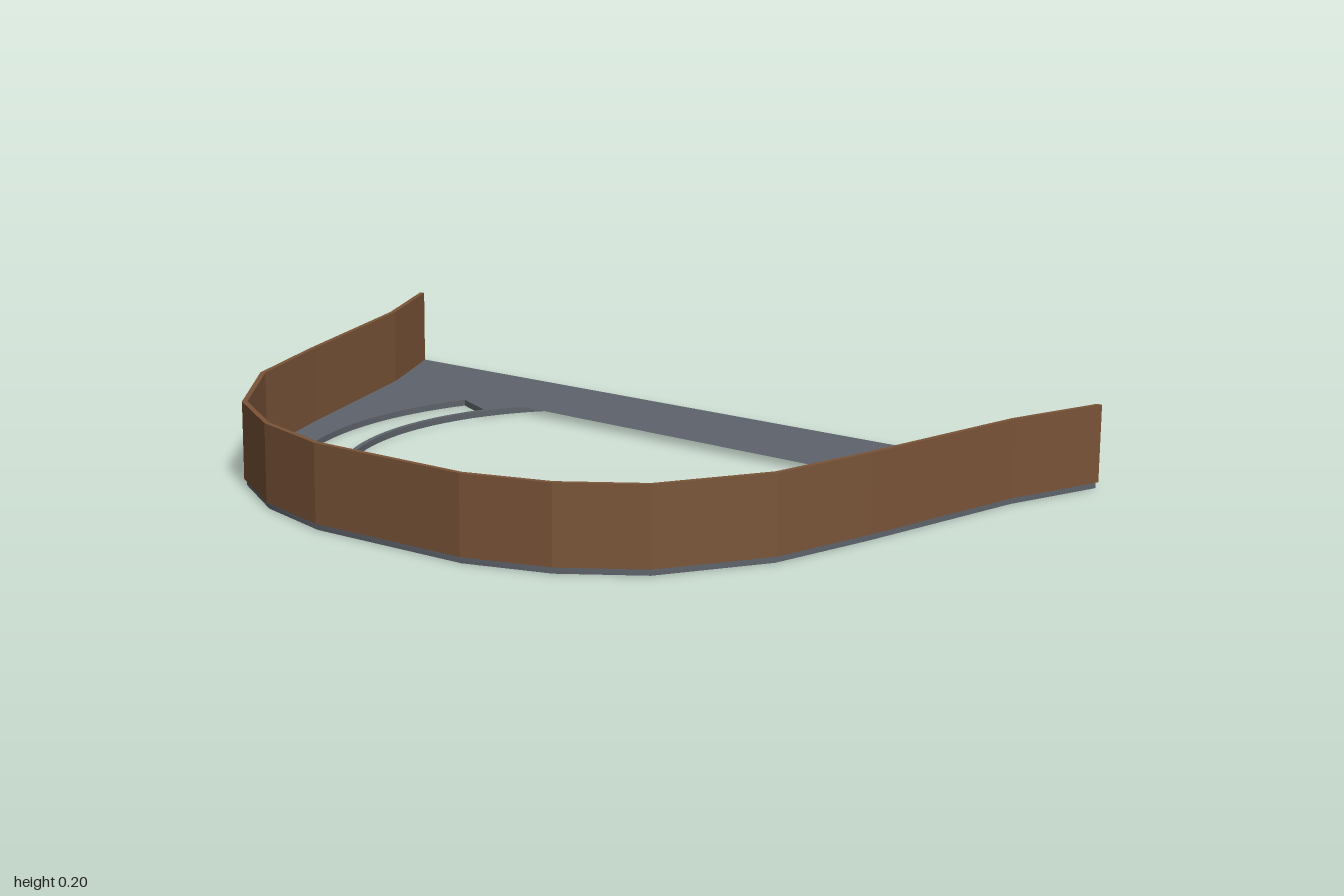
import * as THREE from 'three';
import { toCreasedNormals } from 'three/addons/utils/BufferGeometryUtils.js';

const PLATE_TOP = 0.015, WALL_TOP = 0.197, BACK = -0.66;
const HOLE_Z = -0.083, HOLE_R = 0.576;

// Left half of the outline as (x, z), from the back corner to the front
const half = [[0.994, BACK], [0.902, -0.43], [0.795, 0], [0.722, 0.253], [0.566, 0.482], [0.396, 0.592], [0.2, 0.65]];
const outline = [...half, ...half.map(([x, z]) => [-x, z]).reverse()].map(([x, z]) => new THREE.Vector2(x, z));

// Mitred offset of the open outline; the two ends stay on the back line
function offset(points, d) {
  const normal = (a, b) => new THREE.Vector2(b.y - a.y, a.x - b.x).normalize();
  return points.map((p, i) => {
    const n0 = normal(points[Math.max(i - 1, 0)], points[Math.max(i, 1)]);
    const last = points.length - 1;
    const n1 = normal(points[Math.min(i, last - 1)], points[Math.min(i + 1, last)]);
    if (i === 0 || i === last) return new THREE.Vector2(p.x + d / n0.x, p.y);
    const m = n0.clone().add(n1).normalize();
    return p.clone().addScaledVector(m, d / m.dot(n0));
  });
}

// Extrude an (x, z) shape between two heights
function slab(shape, bottom, top) {
  const geo = new THREE.ExtrudeGeometry(shape, { depth: top - bottom, bevelEnabled: false, curveSegments: 64 });
  return geo.rotateX(Math.PI / 2).translate(0, top, 0);
}

export function createModel() {
  const group = new THREE.Group();
  const grey = new THREE.MeshStandardMaterial({ color: 0x5e636b });
  grey.name = 'slate grey';
  const brown = new THREE.MeshStandardMaterial({ color: 0x7a5438 });
  brown.name = 'wood brown';

  // Base plate with a round opening and two curved slots
  const plateShape = new THREE.Shape(outline);
  plateShape.holes.push(new THREE.Path().absarc(0, HOLE_Z, HOLE_R, 0, Math.PI * 2, true));
  const start = THREE.MathUtils.degToRad(-25.7), end = THREE.MathUtils.degToRad(71.3);
  for (const [a, b, flip] of [[start, end, false], [Math.PI - start, Math.PI - end, true]]) {
    const slot = new THREE.Path();
    slot.absarc(0, HOLE_Z, 0.698, a, b, flip);
    slot.absarc(0, HOLE_Z, 0.588, b, a, !flip);
    slot.closePath();
    plateShape.holes.push(slot);
  }
  const plate = new THREE.Mesh(toCreasedNormals(slab(plateShape, 0, PLATE_TOP), 0.4), grey);
  plate.name = 'basePlate';

  // Thin upright wall following the sides and front, open at the back
  const wallShape = new THREE.Shape([...offset(outline, 0.006), ...offset(outline, -0.006).reverse()]);
  const wall = new THREE.Mesh(slab(wallShape, PLATE_TOP, WALL_TOP), brown);
  wall.name = 'rimWall';

  group.add(plate, wall);
  return group;
}
